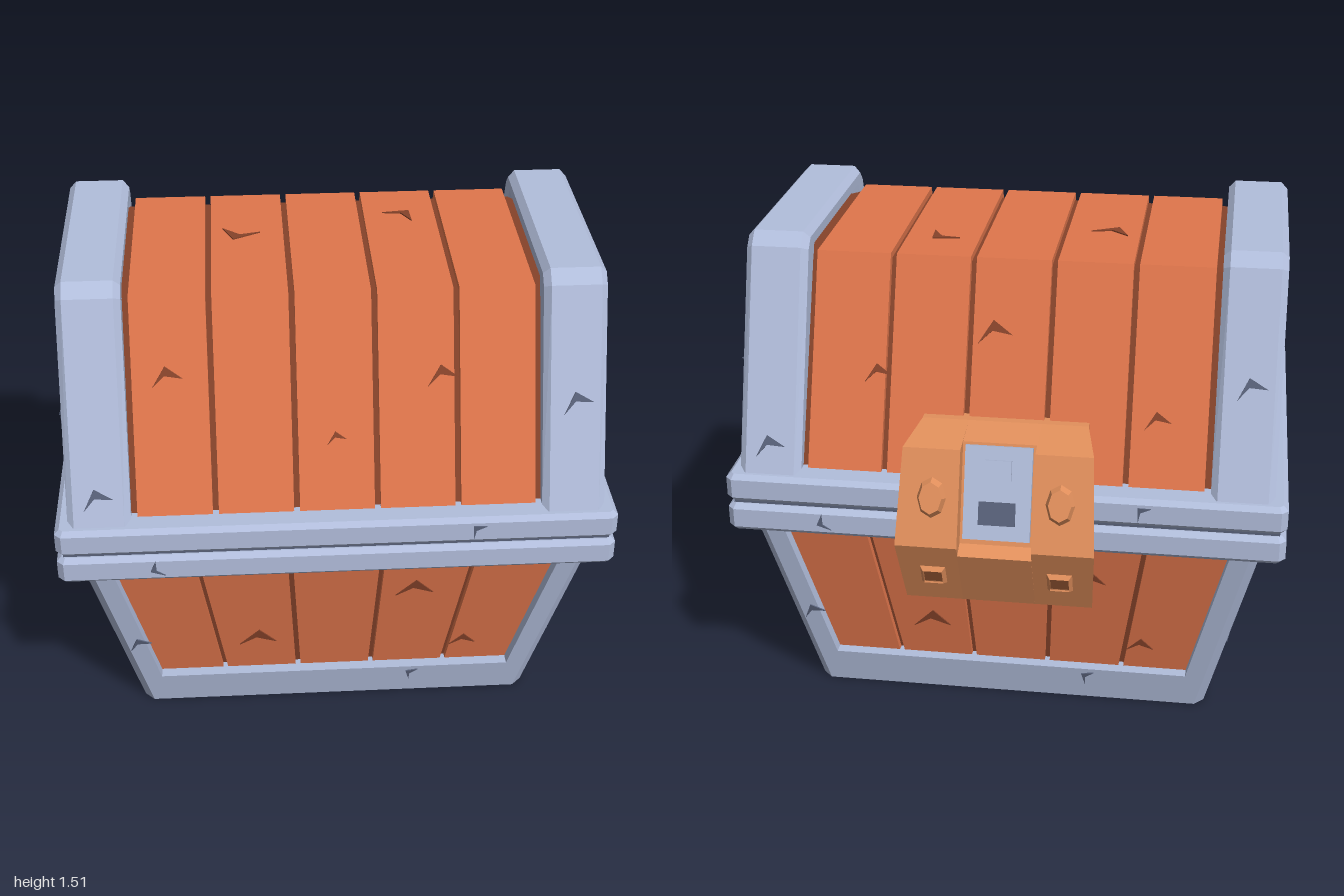
import * as THREE from 'three';
import { ConvexGeometry } from 'three/addons/geometries/ConvexGeometry.js';

const mat = (color) => new THREE.MeshStandardMaterial({ color, flatShading: true, side: THREE.DoubleSide });

export function createModel() {
  const wood = mat(0xe0764c), groove = mat(0x86432a), metal = mat(0xb2bedc);
  const metalDark = mat(0x59627a), brass = mat(0xe2905c), brassDark = mat(0x9a5a36);
  const model = new THREE.Group();
  const chest = new THREE.Group();
  chest.name = 'chest';
  chest.rotation.y = 0.268;
  model.add(chest);

  const add = (parent, name, geo, m, x = 0, y = 0, z = 0) => {
    const mesh = new THREE.Mesh(geo, m);
    mesh.name = name;
    mesh.position.set(x, y, z);
    parent.add(mesh);
    return mesh;
  };
  const group = (parent, name) => {
    const g = new THREE.Group();
    g.name = name;
    parent.add(g);
    return g;
  };
  const poly = (pts) => new THREE.Shape(pts.map((p) => new THREE.Vector2(p[0], p[1])));
  const extrude = (shape, depth, bevel = 0) => new THREE.ExtrudeGeometry(shape, {
    depth: depth - 2 * bevel, bevelEnabled: bevel > 0, bevelSize: bevel,
    bevelThickness: bevel, bevelOffset: -bevel, bevelSegments: 1,
  }).translate(0, 0, bevel);
  const hull = (pts) => new ConvexGeometry(pts.map((p) => new THREE.Vector3(...p)));

  // Small chevron nick lying on a face
  const nick = (parent, m, x, y, z, size = 1, turn = 0) => {
    const s = poly([[0.005, 0.04], [-0.06, -0.03], [-0.005, 0.005], [0.06, -0.02]]);
    const n = add(parent, 'nick', extrude(s, 0.004), m, x, y, z);
    n.scale.set(size, size, 1);
    n.rotation.z = turn;
  };

  // Tapered row of n boards over a dark backing; outer surface at z = 0
  const boardPanel = (parent, n, w0, w1, y0, y1, nicks) => {
    const gap = 0.008;
    for (let i = 0; i < n; i++) {
      const a = (2 * i) / n - 1, b = (2 * (i + 1)) / n - 1;
      const s = poly([[a * w0 + gap, y0], [b * w0 - gap, y0], [b * w1 - gap, y1], [a * w1 + gap, y1]]);
      add(parent, 'board', extrude(s, 0.025), wood, 0, 0, -0.025);
    }
    add(parent, 'backing', extrude(poly([[-w0, y0], [w0, y0], [w1, y1], [-w1, y1]]), 0.015), groove, 0, 0, -0.035);
    for (const [x, y, size, turn] of nicks) nick(parent, groove, x, y, 0, size, turn);
  };

  // ---- Base: flared box with corner posts, skirt and board panels ----
  const H = 0.65, C = 0.03;
  const halfX = (y) => 0.63 + 0.236 * y, halfZ = (y) => 0.47 + 0.205 * y;
  const base = group(chest, 'base');
  for (const sx of [-1, 1]) for (const sz of [-1, 1]) {
    const pts = [];
    for (const y of [0, H]) {
      const a = halfX(y), b = halfZ(y);
      for (const [p, q] of [[a - C, b], [a, b - C], [a - 0.09, b], [a, b - 0.1], [a - 0.09, b - 0.06], [a - 0.06, b - 0.1]])
        pts.push([sx * p, y, sz * q]);
    }
    add(base, 'cornerPost', hull(pts), metal);
  }
  for (let k = 0; k < 4; k++) {
    const long = k % 2 === 0;
    const across = long ? halfX : halfZ, out = long ? halfZ : halfX;
    const side = group(base, 'baseSide');
    side.rotation.y = (k * Math.PI) / 2;
    const pts = [];
    for (const y of [0, 0.12]) for (const s of [-1, 1])
      pts.push([s * (across(y) - C), y, out(y)], [s * (across(y) - 0.065), y, out(y) - 0.065]);
    add(side, 'skirt', hull(pts), metal);

    const face = group(side, 'basePanel');
    face.position.z = out(0) - 0.037;
    face.rotation.x = Math.atan((out(H) - out(0)) / H);
    const nicks = long ? [[-0.25, 0.27, 1], [0.25, 0.49, 1], [0.42, 0.22, 0.7]] : [[-0.1, 0.32, 0.9], [0.1, 0.56, 0.8]];
    boardPanel(face, long ? 5 : 4, across(0.1) - 0.06, across(H) - 0.06, 0.1, H, nicks);

    const post = group(side, 'postNicks');
    post.position.z = out(0);
    post.rotation.x = face.rotation.x;
    nick(post, metalDark, 0.25, 0.09, 0, 0.5, 1);
    nick(post, metalDark, -across(0.3) + 0.07, 0.3, 0, 0.65, 0.4);
  }
  add(base, 'floor', new THREE.BoxGeometry(1.18, 0.03, 0.86), wood, 0, 0.025, 0);

  // ---- Rim: two bevelled bands with a dark seam ----
  const rim = group(chest, 'rim');
  const X = 0.85, Z = 0.645, k = 0.02;
  const plate = poly([[-X + k, -Z], [X - k, -Z], [X, -Z + k], [X, Z - k], [X - k, Z], [-X + k, Z], [-X, Z - k], [-X, -Z + k]]);
  for (const y of [0.635, 0.735])
    add(rim, 'rimBand', extrude(plate, 0.09, 0.015).rotateX(-Math.PI / 2), metal, 0, y, 0);
  add(rim, 'rimSeam', new THREE.BoxGeometry(1.66, 0.05, 1.25), metalDark, 0, 0.73, 0);
  for (const s of [0, Math.PI]) {
    const g = group(rim, 'rimNicks');
    g.rotation.y = s;
    nick(g, metalDark, 0.42, 0.785, Z, 0.5, 0.8);
    nick(g, metalDark, -0.55, 0.68, Z, 0.5, 2);
  }

  // ---- Lid: boards running over a faceted profile ----
  const lid = group(chest, 'lid');
  const lidShape = (inset) => poly([[-0.59 + inset, 0.84], [0.59 - inset, 0.84], [0.335 - inset, 1.45 - inset], [-0.335 + inset, 1.45 - inset]]);
  const pitch = 0.244;
  for (let i = -2; i <= 2; i++) {
    const g = extrude(lidShape(0), pitch - 0.018).translate(0, 0, -(pitch - 0.018) / 2).rotateY(Math.PI / 2);
    add(lid, 'lidBoard', g, wood, i * pitch, 0, 0);
  }
  add(lid, 'lidCore', extrude(lidShape(0.02), 1.36).translate(0, 0, -0.68).rotateY(Math.PI / 2), groove);
  const lidNicks = {
    front: [[-0.5, 0.42, 0.8], [0.0, 0.22, 0.5], [0.32, 0.4, 0.8]],
    back: [[0.45, 0.2, 0.7], [-0.05, 0.44, 0.9], [-0.4, 0.3, 0.7]],
  };
  for (const [where, list] of Object.entries(lidNicks)) {
    const turn = group(lid, where + 'LidNicks');
    turn.rotation.y = where === 'front' ? 0 : Math.PI;
    const slope = group(turn, 'slope');
    slope.position.set(0, 0.84, 0.59);
    slope.rotation.x = -Math.atan(0.255 / 0.61);
    for (const [x, y, s] of list) nick(slope, groove, x, y, 0, s, 0.2);
  }
  const top = group(lid, 'topNicks');
  top.position.y = 1.45;
  top.rotation.x = -Math.PI / 2;
  nick(top, groove, -0.27, 0.05, 0, 1, 2.8);
  nick(top, groove, 0.25, 0.16, 0, 0.9, -0.7);

  // Metal end frames with recessed board panels
  const half = [[0.62, 0.822], [0.385, 1.472], [0.345, 1.51]];
  const mirrored = half.map(([x, y]) => [-x, y]).reverse();
  for (const s of [-1, 1]) {
    const end = group(lid, s > 0 ? 'leftLidEnd' : 'rightLidEnd');
    end.rotation.y = (s * Math.PI) / 2;
    const frame = poly([...half, ...mirrored]);
    frame.holes.push(poly([[-0.5, 0.905], [-0.285, 1.44], [0.285, 1.44], [0.5, 0.905]]));
    add(end, 'lidFrame', extrude(frame, 0.19, 0.02), metal, 0, 0, 0.62);
    const panel = group(end, 'lidEndPanel');
    panel.position.z = 0.77;
    boardPanel(panel, 4, 0.54, 0.28, 0.87, 1.47, [[0.1, 1.27, 0.8, 0.3], [-0.11, 1.07, 0.7, 0]]);
    nick(end, metalDark, 0.47, 1.13, 0.81, 0.5, 1);
    for (const f of [0, Math.PI]) {
      const turn = group(lid, 'strapNicks');
      turn.rotation.y = f;
      const slope = group(turn, 'slope');
      slope.position.set(s * 0.72, 0.822, 0.62);
      slope.rotation.x = -Math.atan(0.235 / 0.65);
      nick(slope, metalDark, 0, s > 0 ? 0.34 : 0.09, 0, 0.8, 0.3);
    }
  }

  // ---- Lock on the back: faceted block with a notched middle ----
  const lock = group(chest, 'lock');
  lock.rotation.y = Math.PI;
  const outer = [[0.5, 0.48], [0.7, 0.48], [0.8, 0.71], [0.7, 0.985], [0.545, 1.01], [0.5, 1.01]];
  const notched = [[0.5, 0.48], [0.7, 0.48], [0.79, 0.68], [0.745, 0.7], [0.65, 0.99], [0.545, 1.01], [0.5, 1.01]];
  const lockSlice = (name, x0, x1, profile) => {
    const g = extrude(poly(profile), x1 - x0).rotateY(-Math.PI / 2).translate(x1, 0, 0);
    // taper the outer ends toward the top and bottom
    const p = g.attributes.position;
    for (let i = 0; i < p.count; i++) if (Math.abs(p.getX(i)) > 0.2) {
      const y = p.getY(i), z = p.getZ(i);
      const w = z < 0.6 ? 0.25 : 0.295 - 0.05 * Math.abs(y - 0.71);
      p.setX(i, Math.sign(p.getX(i)) * w);
    }
    g.computeVertexNormals();
    add(lock, name, g, brass);
  };
  lockSlice('lockRight', -0.295, -0.11, outer);
  lockSlice('lockLeft', 0.11, 0.295, outer);
  lockSlice('lockMiddle', -0.11, 0.11, notched);

  // Hasp plate with slot, seated in the notch
  const hasp = group(lock, 'hasp');
  hasp.position.set(0, 0.85, 0.698);
  hasp.rotation.x = -Math.atan(0.095 / 0.29);
  add(hasp, 'haspPlate', new THREE.BoxGeometry(0.2, 0.28, 0.03), metal);
  add(hasp, 'haspStud', new THREE.BoxGeometry(0.08, 0.06, 0.015), metal, 0, 0.07, 0.02);
  add(hasp, 'keyhole', new THREE.BoxGeometry(0.11, 0.07, 0.006), metalDark, 0, -0.06, 0.015);

  // Oval studs above, square insets below
  for (const s of [-1, 1]) {
    const upper = group(lock, 'upperLockFace');
    upper.position.set(s * 0.19, 0.85, 0.75);
    upper.rotation.x = -Math.atan(0.1 / 0.275);
    const stud = add(upper, 'lockStud', new THREE.CylinderGeometry(0.034, 0.044, 0.025, 8).rotateX(Math.PI / 2), brass, 0, 0, 0.01);
    stud.scale.y = 1.4;
    const lower = group(lock, 'lowerLockFace');
    lower.position.set(s * 0.19, 0.59, 0.748);
    lower.rotation.x = Math.atan(0.1 / 0.23);
    const ring = new THREE.CylinderGeometry(0.04, 0.055, 0.014, 4, 1, true).rotateY(Math.PI / 4).rotateX(Math.PI / 2);
    add(lower, 'lockRivetEdge', ring, brass, 0, 0, 0.006);
    add(lower, 'lockRivetInset', new THREE.BoxGeometry(0.055, 0.055, 0.006), brassDark, 0, 0, 0.002);
  }
  return model;
}
